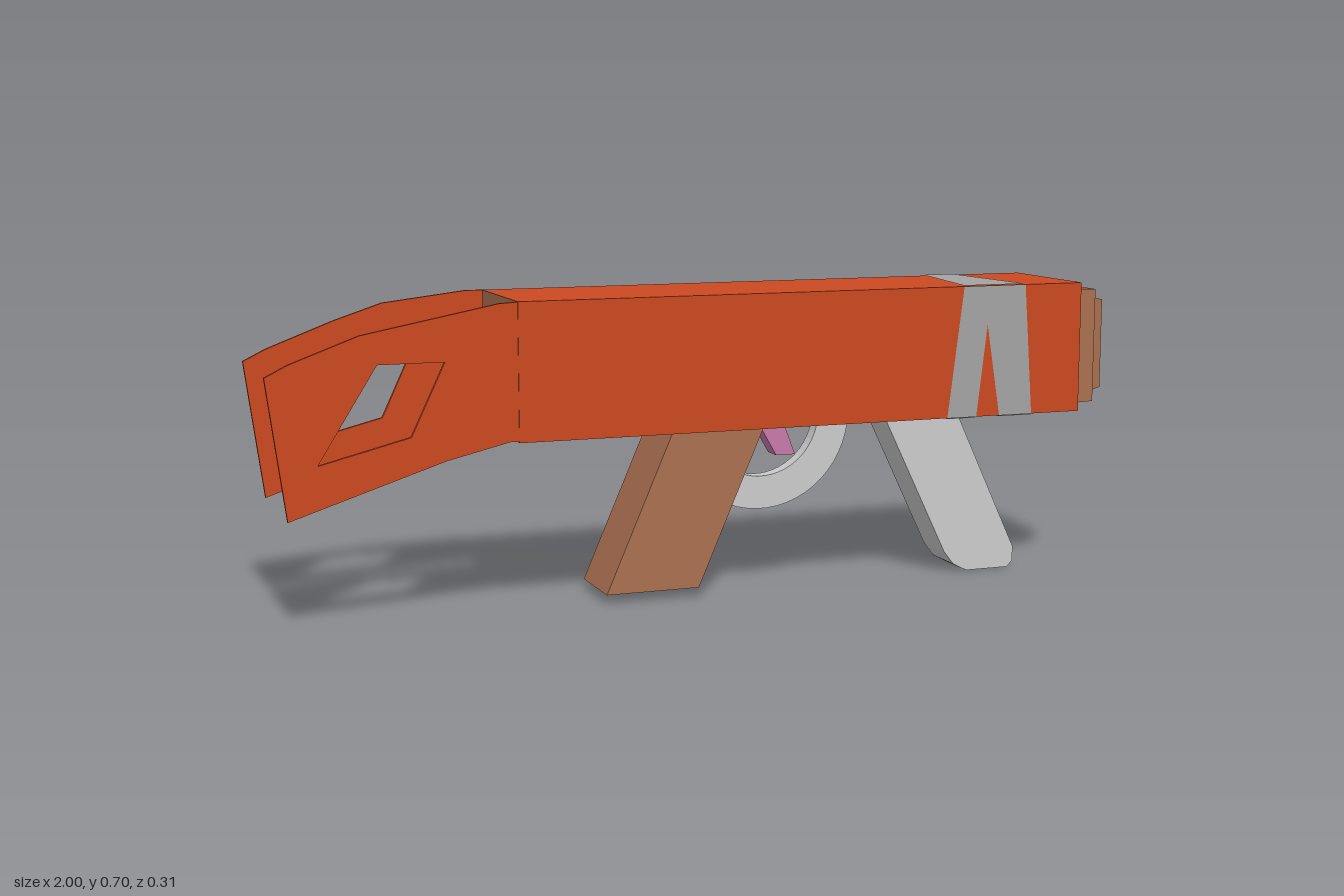
import * as THREE from 'three';

const mat = (name, color, side = THREE.FrontSide) =>
  Object.assign(new THREE.MeshStandardMaterial({ color, side }), { name });

export function createModel() {
  const group = new THREE.Group();
  const orange = mat('orange paint', 0xcb4921);
  const brown = mat('brown wood', 0xab7050);
  const tan = mat('tan trim', 0xcfa274);
  const pale = mat('pale grey metal', 0xcbcbcb);
  const grey = mat('grey stripe', 0xa3a3a3, THREE.DoubleSide);
  const pink = mat('pink trigger', 0xc87aaa);
  const ZC = 0.0025; // middle of the body in z

  const add = (name, geometry, material) => {
    const mesh = new THREE.Mesh(geometry, material);
    mesh.name = name;
    group.add(mesh);
    return mesh;
  };
  const shapeOf = (pts) => new THREE.Shape(pts.map(([x, y]) => new THREE.Vector2(x, y)));
  // Side profile in x and y, given thickness from z0 to z1
  const slab = (name, shape, z0, z1, material) =>
    add(name, new THREE.ExtrudeGeometry(shape, { depth: z1 - z0, bevelEnabled: false, curveSegments: 9 })
      .translate(0, 0, z0), material);
  // Box along x whose far end may be narrower
  const block = (name, x0, x1, y, h, w, material, taper = 1) => {
    const g = new THREE.BoxGeometry(x1 - x0, h, w);
    const p = g.attributes.position;
    for (let i = 0; i < p.count; i++) {
      if (p.getX(i) > 0) p.setXYZ(i, p.getX(i), p.getY(i) * taper, p.getZ(i) * taper);
    }
    g.computeVertexNormals();
    return add(name, g.translate((x0 + x1) / 2, y, ZC), material);
  };

  // Body with a tan front end and a brown back end
  const body = block('body', -0.46, 0.912, 0.5425, 0.305, 0.305, orange);
  body.material = [tan, brown, orange, orange, orange, orange];

  // Stepped muzzle
  block('muzzleCollar', 0.905, 0.916, 0.5425, 0.286, 0.282, orange);
  block('muzzleStep', 0.91, 0.962, 0.5425, 0.272, 0.27, brown, 0.985);
  block('muzzleEnd', 0.955, 0.9985, 0.5425, 0.23, 0.226, brown, 0.92);
  add('muzzlePlate', new THREE.BoxGeometry(0.004, 0.028, 0.086).translate(0.998, 0.454, 0.002), tan);

  // Pair of thin stock plates with cut-outs
  const stock = (name, top, hole, z0) => {
    const s = shapeOf([[-1, 0.555], [-0.96, 0.25], [-0.62, 0.36], [-0.48, 0.393], [-0.44, 0.393],
      [-0.44, 0.695], ...top]);
    s.holes.push(new THREE.Path(hole.map(([x, y]) => new THREE.Vector2(x, y))));
    slab(name, s, z0, z0 + 0.01, orange);
  };
  stock('leftStockPlate', [[-0.5, 0.692], [-0.8, 0.635], [-0.95, 0.58]],
    [[-0.62, 0.572], [-0.765, 0.572], [-0.895, 0.365], [-0.695, 0.415]], 0.143);
  stock('rightStockPlate', [[-0.5, 0.695], [-0.69, 0.673], [-0.8, 0.637], [-0.95, 0.58]],
    [[-0.62, 0.575], [-0.75, 0.585], [-0.815, 0.555], [-0.895, 0.365], [-0.695, 0.415]], -0.154);

  // Grip, magazine and trigger
  slab('grip', shapeOf([[-0.08, 0.4], [-0.245, 0.022], [-0.025, 0.022], [0.14, 0.4]]), -0.083, 0.091, brown);
  slab('magazine', shapeOf([[0.445, 0.4], [0.615, 0.05], [0.64, 0.018], [0.675, 0], [0.785, 0],
    [0.8, 0.015], [0.8, 0.05], [0.635, 0.4]]), -0.05, 0.057, pale);
  slab('trigger', shapeOf([[0.135, 0.4], [0.19, 0.305], [0.237, 0.305], [0.2, 0.4]]), -0.022, 0.028, pink);

  // Curved trigger guard
  const guard = new THREE.Shape();
  const a0 = -Math.PI * 0.66;
  guard.absarc(0.155, 0.4, 0.22, a0, 0, false);
  guard.absarc(0.155, 0.4, 0.143, 0, a0, true);
  slab('triggerGuard', guard, -0.015, 0.02, pale);

  // Painted stripe around the body, forked on the left side and below
  const stripe = (name, pts) => add(name, new THREE.ShapeGeometry(shapeOf(pts)), grey).geometry;
  stripe('leftStripe', [[0.603, 0.695], [0.565, 0.39], [0.64, 0.39], [0.665, 0.605], [0.7, 0.39],
    [0.785, 0.39], [0.762, 0.695]]).translate(0, 0, 0.157);
  stripe('rightStripe', [[-0.73, 0.695], [-0.755, 0.39], [-0.625, 0.39], [-0.65, 0.695]])
    .rotateY(Math.PI).translate(0, 0, -0.152);
  stripe('topStripe', [[0.603, -0.155], [0.762, -0.155], [0.73, 0.15], [0.65, 0.15]])
    .rotateX(-Math.PI / 2).translate(0, 0.697, 0);
  stripe('bottomStripe', [[0.565, 0.155], [0.625, -0.15], [0.755, -0.15], [0.785, 0.155], [0.7, 0.155],
    [0.675, -0.04], [0.64, 0.155]]).rotateX(Math.PI / 2).translate(0, 0.388, 0);

  return group;
}
